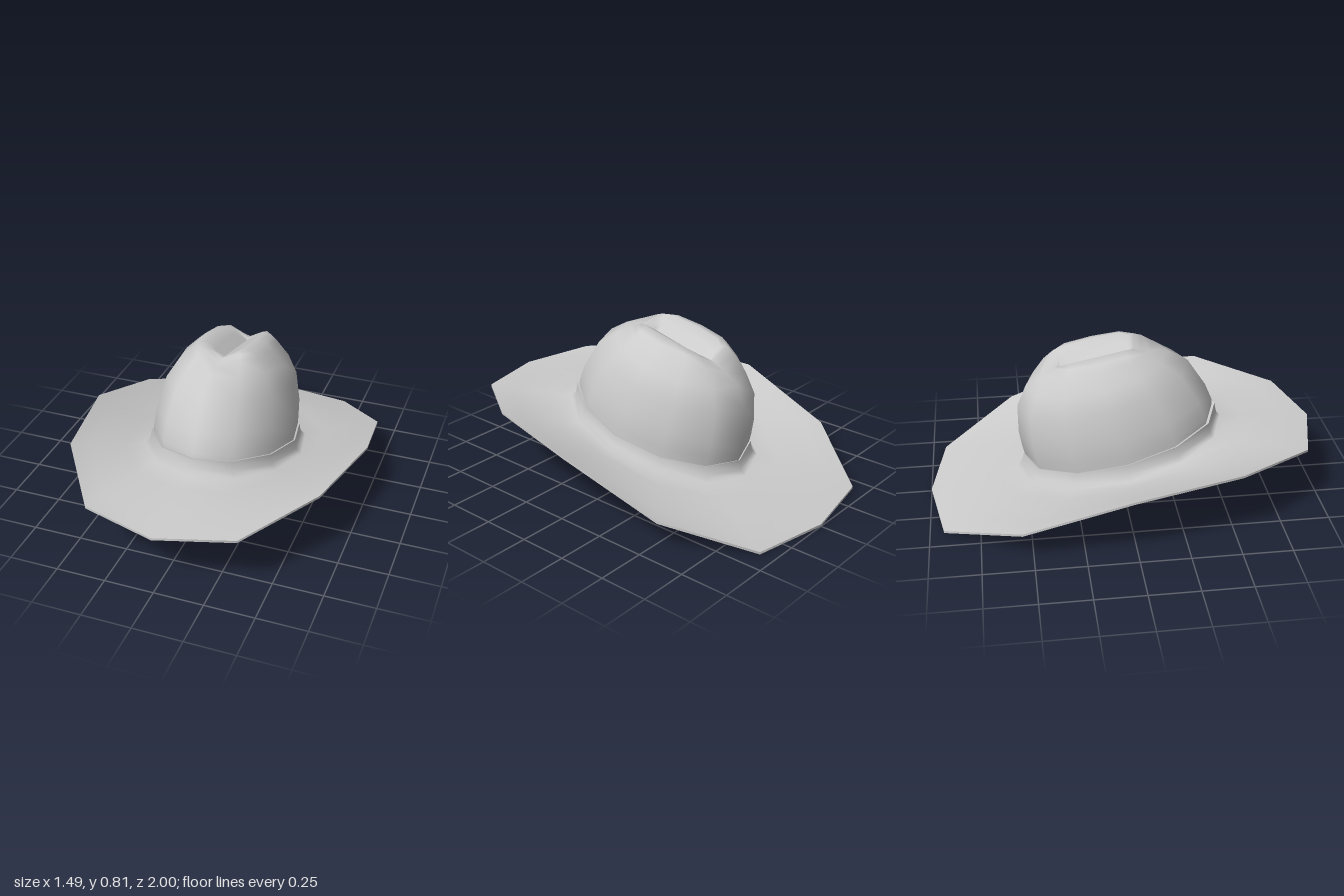
import * as THREE from 'three';

const SIDES = 12;
const V = (x, y, z) => new THREE.Vector3(x, y, z);
const material = new THREE.MeshStandardMaterial({ color: 0xcccccc, side: THREE.DoubleSide });

// Skin a list of closed rings, each with SIDES points starting at the front and turning to +x.
function loft(name, rings) {
  const index = [];
  for (let r = 0; r < rings.length - 1; r++) {
    for (let s = 0; s < SIDES; s++) {
      const a = r * SIDES + s, b = r * SIDES + (s + 1) % SIDES;
      index.push(a, b, a + SIDES, b, b + SIDES, a + SIDES);
    }
  }
  const geometry = new THREE.BufferGeometry().setFromPoints(rings.flat());
  geometry.setIndex(index);
  geometry.computeVertexNormals();
  const mesh = new THREE.Mesh(geometry, material);
  mesh.name = name;
  return mesh;
}

// Tilted oval ring from its front (z, y), back (z, y) and half width; power < 1 squares it off.
function oval([zf, yf, zb, yb, hw, power = 1]) {
  const soft = (v) => Math.sign(v) * Math.abs(v) ** power;
  return Array.from({ length: SIDES }, (_, i) => {
    const a = (i / SIDES) * Math.PI * 2;
    const c = soft(Math.cos(a));
    return V(hw * soft(Math.sin(a)), (yf + yb) / 2 + c * (yf - yb) / 2, (zf + zb) / 2 + c * (zf - zb) / 2);
  });
}

const shift = (ring, dy) => ring.map((p) => V(p.x, p.y + dy, p.z));

// Rings from inner to outer, with heights easing up toward the curled rim.
function spread(inner, outer, steps) {
  return Array.from({ length: steps + 1 }, (_, k) => {
    const t = k / steps;
    return inner.map((p, i) => {
      const q = p.clone().lerp(outer[i], t);
      q.y = p.y + (outer[i].y - p.y) * t ** 1.35;
      return q;
    });
  });
}

function createBrim() {
  const brim = new THREE.Group();
  brim.name = 'brim';

  // Rim outline from front to back, mirrored across x
  const half = [
    [0, 0.322, 1], [0.375, 0.333, 0.9], [0.645, 0.38, 0.51], [0.745, 0.342, -0.02],
    [0.685, 0.165, -0.55], [0.405, 0.022, -0.93], [0, 0.012, -1],
  ].map((p) => V(...p));
  const rim = [...half, ...half.slice(1, 6).reverse().map((p) => V(-p.x, p.y, p.z))];
  const rimLow = shift(rim, -0.012);

  const opening = oval([0.47, 0.322, -0.5, 0.115, 0.355]);
  const foot = oval([0.525, 0.35, -0.545, 0.118, 0.405]);
  const collarMid = oval([0.505, 0.375, -0.52, 0.142, 0.378]);
  const collarTop = oval([0.495, 0.427, -0.51, 0.192, 0.37]);
  const collarInside = oval([0.475, 0.42, -0.495, 0.188, 0.355]);

  brim.add(
    loft('brimUnderside', spread(opening, rimLow, 4)),
    loft('brimEdge', [rimLow, rim]),
    loft('brimTop', [...spread(foot, rim, 4).reverse(), collarMid, collarTop]),
    loft('collarEdge', [collarTop, collarInside]),
    loft('innerWall', [collarInside, opening]),
  );
  return brim;
}

function createCrown() {
  // Front z, front y, back z, back y, half width, squareness
  const rings = [
    [0.482, 0.41, -0.5, 0.18, 0.36],
    [0.478, 0.45, -0.515, 0.24, 0.359],
    [0.44, 0.54, -0.53, 0.33, 0.354],
    [0.345, 0.685, -0.53, 0.48, 0.32],
    [0.235, 0.75, -0.485, 0.59, 0.268],
    [0.15, 0.795, -0.415, 0.68, 0.2, 0.85],
    [0.1, 0.812, -0.36, 0.73, 0.165, 0.7],
    [0.07, 0.825, -0.33, 0.745, 0.112, 0.5],
    [0.05, 0.82, -0.32, 0.74, 0.06, 0.5],
    [0.03, 0.815, -0.31, 0.735, 0, 0.5],
  ].map(oval);

  // Press the lengthwise crease into the top
  rings.forEach((ring, k) => {
    if (k < 5) return;
    const depth = k === 5 ? 0.045 : 0.065;
    ring.forEach((p) => { p.y -= depth * Math.max(0, 1 - Math.abs(p.x) / 0.11); });
  });
  return loft('crown', rings);
}

export function createModel() {
  const hat = new THREE.Group();
  hat.name = 'wideBrimHat';
  hat.add(createBrim(), createCrown());
  return hat;
}
